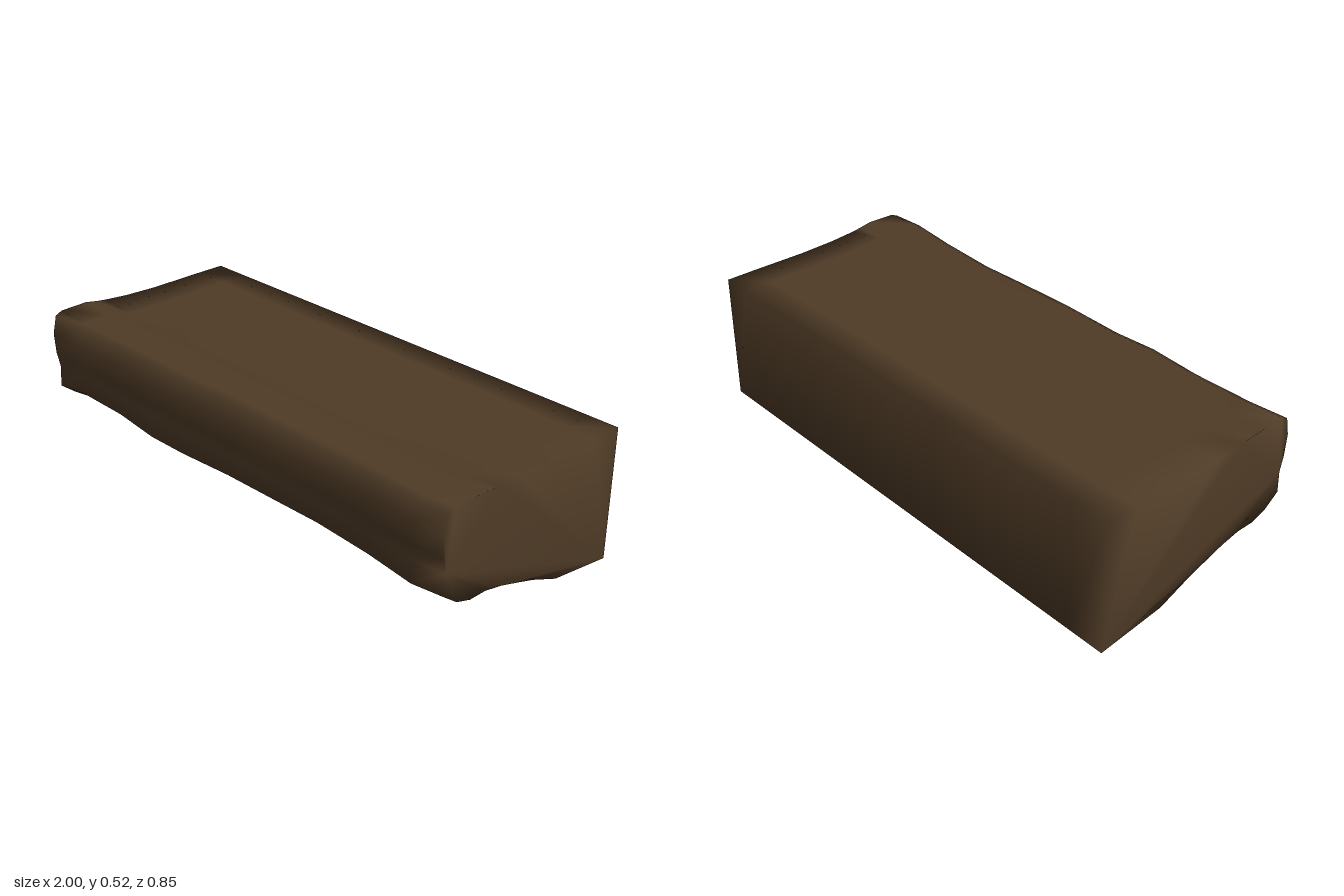
import * as THREE from 'three';

// Cross-section as [z, y, wobble]: back top, over the lip, then under to the back
const PROFILE = [
  [-0.425, 0.5, 0], [-0.31, 0.5, 0], [-0.08, 0.497, 0.1], [0.06, 0.498, 0.5],
  [0.16, 0.503, 0.9], [0.2, 0.512, 0.5], [0.25, 0.52, 0.6], [0.36, 0.516, 0.7],
  [0.388, 0.502, 0.8], [0.404, 0.44, 0.8], [0.399, 0.36, 0.6], [0.386, 0.3, 0.6],
  [0.39, 0.225, 0.9], [0.33, 0.18, 1], [0.27, 0.16, 1], [0.2, 0.16, 1],
  [0.12, 0.143, 1], [0.03, 0.115, 1], [-0.04, 0.092, 1], [-0.16, 0.042, 0.9],
  [-0.425, 0.002, 0],
];

// Stations along the ledge as [x, forward shift, top shift, underside shift]
const STATIONS = [
  [-1, 0, 0.009, -0.01], [-0.85, 0, -0.004, 0.012], [-0.62, -0.006, -0.003, 0.004],
  [-0.42, 0.003, 0.004, -0.012], [-0.25, -0.004, -0.003, -0.016],
  [0, -0.004, 0.004, 0], [0.22, -0.006, 0, 0.002], [0.44, -0.01, -0.006, 0.003],
  [0.68, 0, -0.001, -0.001], [0.88, 0.02, 0.003, -0.006], [1, 0.002, 0.008, -0.004],
];

function createLedgeGeometry() {
  const n = PROFILE.length;
  const positions = [];
  const indices = [];

  for (const [x, forward, top, under] of STATIONS) {
    for (const [z, y, w] of PROFILE) {
      const lift = y > 0.48 ? top : y < 0.24 ? under : 0;
      const front = z > 0.3 ? forward : 0;
      positions.push(x, y + lift * w, z + front * w);
    }
  }

  // Skin between neighbouring sections
  for (let i = 0; i < STATIONS.length - 1; i++) {
    for (let j = 0; j < n; j++) {
      const a = i * n + j;
      const b = i * n + (j + 1) % n;
      indices.push(a, b, a + n, b, b + n, a + n);
    }
  }

  // End caps share the skin's vertices, keeping the worn edges soft
  const last = (STATIONS.length - 1) * n;
  const contour = PROFILE.map(([z, y]) => new THREE.Vector2(z, y));
  for (const tri of THREE.ShapeUtils.triangulateShape(contour.slice().reverse(), [])) {
    const [a, b, c] = tri.map((k) => n - 1 - k);
    const [p, q, r] = [contour[a], contour[b], contour[c]];
    const ccw = (q.x - p.x) * (r.y - p.y) - (q.y - p.y) * (r.x - p.x) > 0;
    const [s, t] = ccw ? [b, c] : [c, b];
    indices.push(a, s, t, last + a, last + t, last + s);
  }

  const geometry = new THREE.BufferGeometry();
  geometry.setAttribute('position', new THREE.Float32BufferAttribute(positions, 3));
  geometry.setIndex(indices);
  geometry.computeVertexNormals();
  return geometry;
}

export function createModel() {
  const group = new THREE.Group();
  group.name = 'ledge';

  const brown = new THREE.MeshStandardMaterial({ color: 0x4f3b26 });
  brown.name = 'dark brown';

  const ledge = new THREE.Mesh(createLedgeGeometry(), brown);
  ledge.name = 'ledgeBlock';
  group.add(ledge);
  return group;
}
